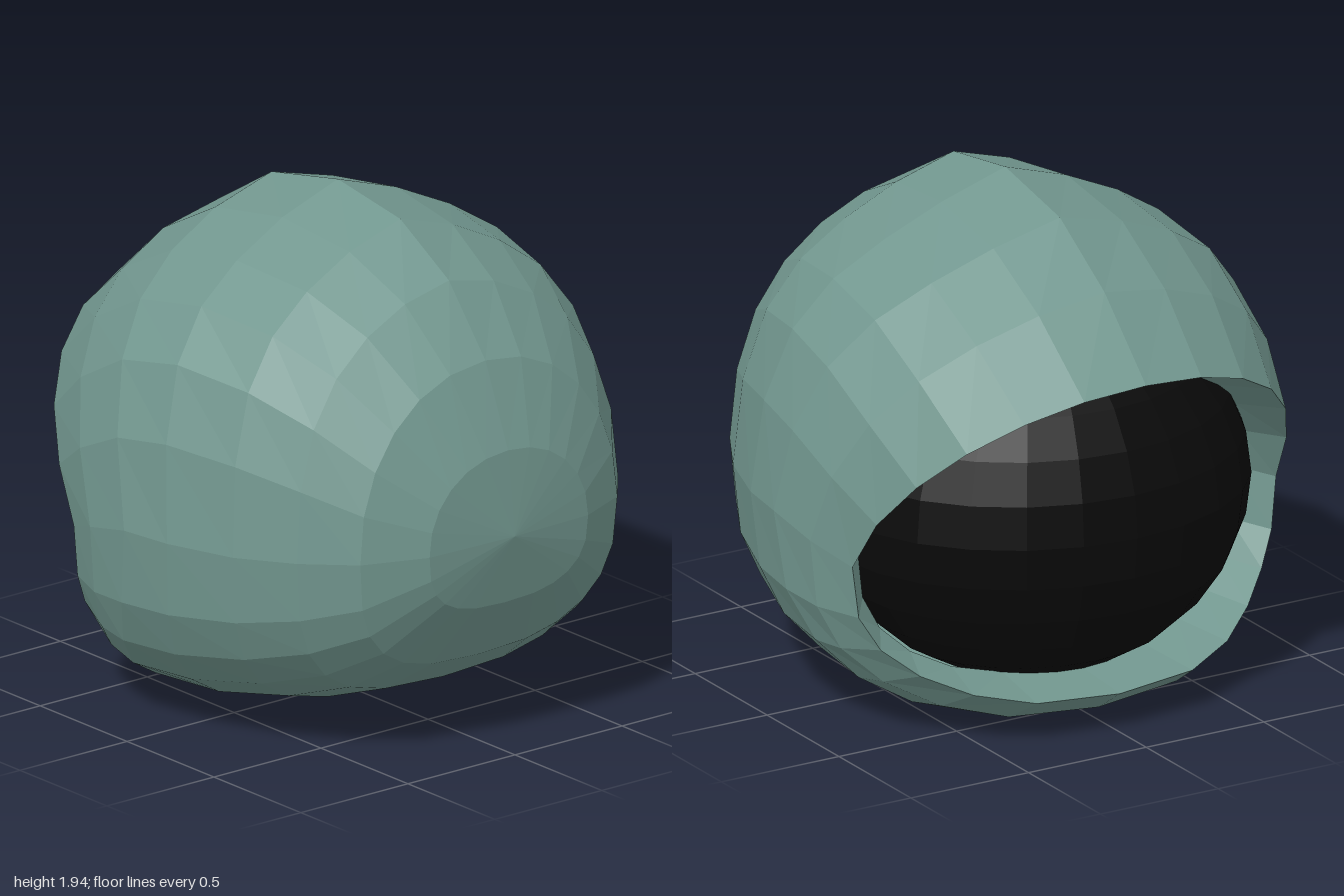
import * as THREE from 'three';

const COLUMNS = 24;

// Each section runs through a top, a side and a bottom point.
// top [y, z], side [x, y, z], bottom [y, z], ridge = how peaked the crown is
const SECTIONS = [
  { top: [1.33, -0.68], side: [0.80, 0.72, -0.30], bottom: [0.18, -0.50], ridge: 0 },     // inside of the lip
  { top: [1.41, -1.00], side: [0.90, 0.70, -0.43], bottom: [0.16, -0.82], ridge: 0 },     // rim of the opening
  { top: [1.68, -0.71], side: [0.97, 0.76, -0.25], bottom: [0.06, -0.67], ridge: 0.02 },
  { top: [1.87, -0.40], side: [0.99, 0.81, -0.03], bottom: [0.01, -0.42], ridge: 0.04 },
  { top: [1.945, -0.02], side: [0.96, 0.81, 0.18], bottom: [0.03, -0.04], ridge: 0.05 },
  { top: [1.89, 0.34], side: [0.87, 0.81, 0.45], bottom: [0.10, 0.31], ridge: 0.04 },
  { top: [1.73, 0.62], side: [0.75, 0.82, 0.67], bottom: [0.20, 0.59], ridge: 0.02 },
  { top: [1.48, 0.83], side: [0.60, 0.83, 0.85], bottom: [0.34, 0.79], ridge: 0 },
  { top: [1.17, 0.96], side: [0.37, 0.84, 0.965], bottom: [0.58, 0.94], ridge: 0 },
  { top: [0.85, 1.00], side: [0, 0.85, 1.00], bottom: [0.85, 1.00], ridge: 0 },           // back pole
];

// Rounded above, boxier below; the lower rim sweeps forward late to form a chin.
function sectionRing({ top, side, bottom, ridge }, index) {
  const ring = [];
  for (let j = 0; j < COLUMNS; j++) {
    const angle = (j / COLUMNS) * Math.PI * 2;
    const c = Math.cos(angle);
    const s = Math.abs(Math.sin(angle));
    const upper = j <= COLUMNS / 2;
    const end = upper ? top : bottom;
    const power = 2 / (upper ? 2.1 : 2.7);
    const quarter = Math.asin(Math.min(1, s));
    const rise = Math.pow(s, power) + (upper ? ridge * Math.sin(4 * quarter) : 0);
    const sweep = Math.pow(s, upper ? 1.15 : index < 3 ? 3 : 1.6);
    ring.push(new THREE.Vector3(
      side[0] * Math.sign(c) * Math.pow(Math.abs(c), power),
      side[1] + (end[0] - side[1]) * rise,
      side[2] + (end[1] - side[2]) * sweep,
    ));
  }
  return ring;
}

function loft(rings) {
  const points = [];
  for (let i = 0; i < rings.length - 1; i++) {
    for (let j = 0; j < COLUMNS; j++) {
      const k = (j + 1) % COLUMNS;
      const a = rings[i][j], b = rings[i][k];
      const c = rings[i + 1][k], d = rings[i + 1][j];
      points.push(a, b, c);
      if (i < rings.length - 2) points.push(a, c, d);
    }
  }
  const geometry = new THREE.BufferGeometry().setFromPoints(points);
  geometry.computeVertexNormals();
  return geometry;
}

export function createModel() {
  const hoodGreen = new THREE.MeshStandardMaterial({ color: 0x72978f, flatShading: true, side: THREE.DoubleSide });
  hoodGreen.name = 'hoodGreen';
  const faceBlack = new THREE.MeshStandardMaterial({ color: 0x0a0a0a, flatShading: true });
  faceBlack.name = 'faceBlack';

  const model = new THREE.Group();
  model.name = 'hoodedHead';

  // Hood shell with its turned-in lip
  const hood = new THREE.Mesh(loft(SECTIONS.map(sectionRing)), hoodGreen);
  hood.name = 'hood';

  // Dark face filling the opening
  const face = new THREE.Mesh(new THREE.SphereGeometry(1, 24, 14), faceBlack);
  face.name = 'face';
  face.scale.set(0.82, 0.72, 0.74);
  face.position.set(0, 0.8, -0.2);

  model.add(hood, face);
  return model;
}
